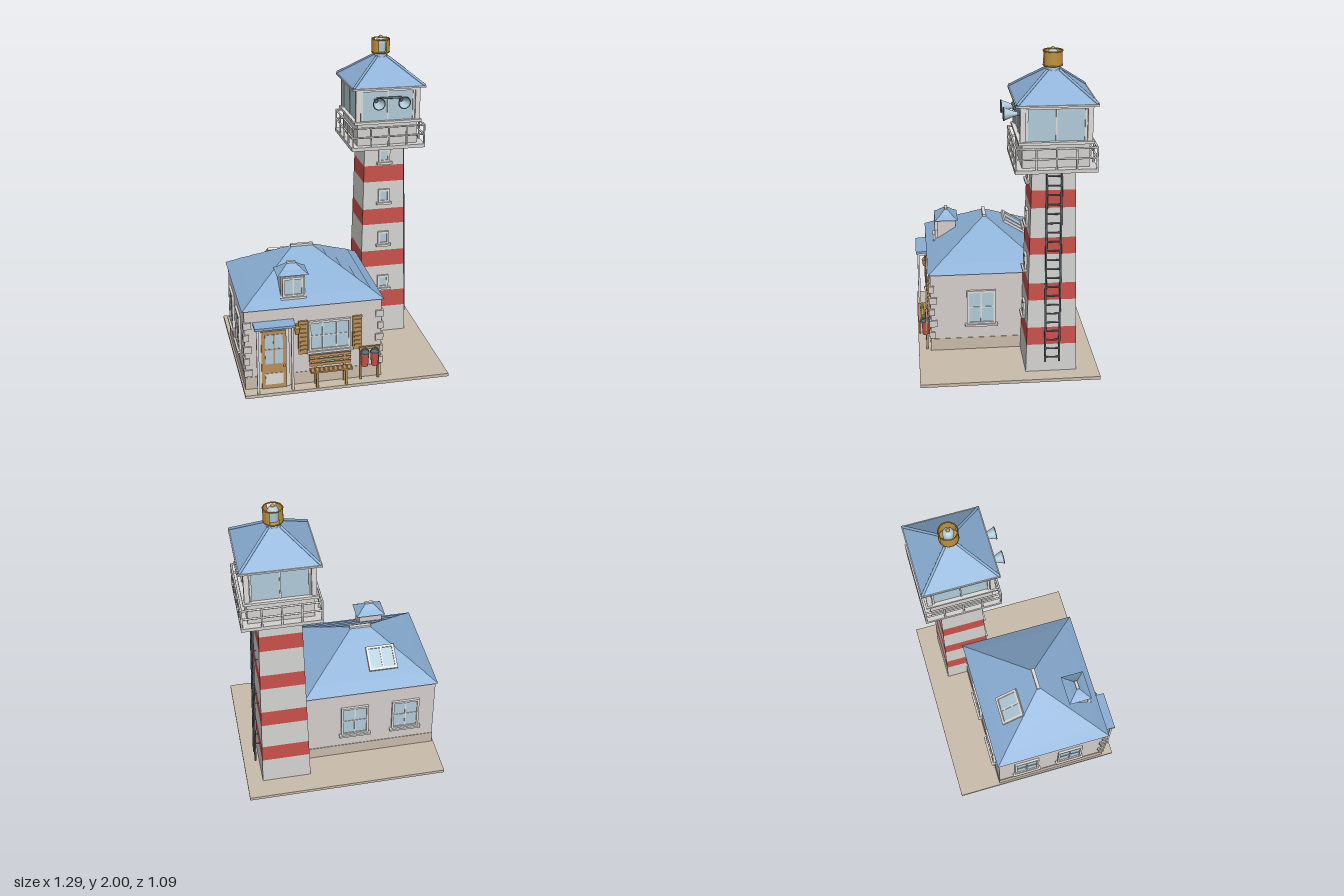
import * as THREE from 'three';

const mat = (name, color, side = THREE.FrontSide) =>
  Object.assign(new THREE.MeshStandardMaterial({ color, side }), { name });

export function createModel() {
  const sand = mat('sand', 0xc8bbaa), wall = mat('house wall', 0xd3cdca), white = mat('tower white', 0xd2d1d0),
    trim = mat('pale trim', 0xdedcd8), blue = mat('roof blue', 0x8aaed4), glass = mat('glass', 0xb0cbd9, THREE.DoubleSide),
    red = mat('red', 0xc8504a), wood = mat('wood', 0xb98f58), gold = mat('brass', 0xc0923a, THREE.DoubleSide),
    metal = mat('dark metal', 0x607078, THREE.DoubleSide);

  const model = new THREE.Group();
  model.name = 'lighthouseAndCottage';
  const group = (name, parent = model, x = 0, y = 0, z = 0) => {
    const g = new THREE.Group();
    g.name = name;
    g.position.set(x, y, z);
    parent.add(g);
    return g;
  };
  const add = (name, parent, geo, m, x = 0, y = 0, z = 0) => {
    const mesh = new THREE.Mesh(geo, m);
    mesh.name = name;
    mesh.position.set(x, y, z);
    parent.add(mesh);
    return mesh;
  };
  const box = (name, parent, m, w, h, d, x, y, z) => add(name, parent, new THREE.BoxGeometry(w, h, d), m, x, y, z);
  const cyl = (name, parent, m, r0, r1, h, x, y, z, n = 24) =>
    add(name, parent, new THREE.CylinderGeometry(r1, r0, h, n), m, x, y, z);
  const rod = (name, parent, m, a, b, r) => {
    const p = new THREE.Vector3(...a), q = new THREE.Vector3(...b), dir = q.clone().sub(p);
    const mesh = add(name, parent, new THREE.CylinderGeometry(r, r, dir.length(), 8), m);
    mesh.position.copy(p).add(q).multiplyScalar(0.5);
    mesh.quaternion.setFromUnitVectors(new THREE.Vector3(0, 1, 0), dir.normalize());
    return mesh;
  };
  // Four-sided block with different half sizes at bottom and top
  const frustum = (w0, d0, w1, d1, h) => {
    const s = [[-1, 1], [1, 1], [1, -1], [-1, -1]];
    const lo = s.map(([x, z]) => [x * w0, 0, z * d0]), hi = s.map(([x, z]) => [x * w1, h, z * d1]);
    const pos = [], quad = (a, b, c, d) => pos.push(...a, ...b, ...c, ...a, ...c, ...d);
    for (let i = 0; i < 4; i++) {
      const j = (i + 1) % 4;
      quad(lo[i], lo[j], hi[j], hi[i]);
    }
    quad(...hi);
    quad(lo[3], lo[2], lo[1], lo[0]);
    const g = new THREE.BufferGeometry();
    g.setAttribute('position', new THREE.Float32BufferAttribute(pos, 3));
    g.computeVertexNormals();
    return g;
  };
  // Framed window facing local +z, with its back on z = 0
  const windowUnit = (name, parent, w, h, cols, rows, x, y, z, ry = 0, f = 0.014, sill = true) => {
    const g = group(name, parent, x, y, z);
    g.rotation.y = ry;
    box('pane', g, glass, w - f, h - f, 0.008, 0, 0, 0.004);
    for (const s of [-1, 1]) {
      box('frameSide', g, trim, f, h, 0.016, s * (w - f) / 2, 0, 0.008);
      box('frameRail', g, trim, w, f, 0.016, 0, s * (h - f) / 2, 0.008);
    }
    for (let i = 1; i < cols; i++) box('mullion', g, trim, f * 0.6, h - f, 0.012, w * (i / cols - 0.5), 0, 0.006);
    for (let i = 1; i < rows; i++) box('glazingBar', g, trim, w - f, f * 0.5, 0.011, 0, h * (i / rows - 0.5), 0.006);
    if (sill) box('sill', g, trim, w + 0.025, 0.014, 0.028, 0, -h / 2 - 0.005, 0.014);
    return g;
  };

  box('groundSlab', model, sand, 1.274, 0.02, 1.09, 0, 0.01, 0);

  // Cottage walls and corner stones
  const house = group('cottage');
  const X0 = -0.622, X1 = 0.22, Z0 = -0.268, Z1 = 0.465, cx = -0.2025, cz = 0.0985;
  box('walls', house, wall, X1 - X0, 0.525, Z1 - Z0, cx, 0.2825, cz);
  box('plinth', house, sand, X1 - X0 + 0.006, 0.08, Z1 - Z0 + 0.006, cx, 0.06, cz);
  for (const s of [-1, 1]) for (let i = 0; i < 5; i++) {
    const wide = i % 2 ? 0.035 : 0.05, deep = i % 2 ? 0.05 : 0.035, x = s < 0 ? X0 - 0.01 : X1 + 0.01;
    box('cornerStone', house, wall, wide, 0.043, deep, x - s * wide / 2, 0.13 + i * 0.079, Z1 + 0.01 - deep / 2);
  }

  // Hipped roof in overlapping courses
  const roof = group('cottageRoof', house, cx, 0, cz);
  const tiers = 5;
  for (let i = 0; i < tiers; i++) {
    const a = i / tiers, b = (i + 1) / tiers, lip = i ? 0.006 : 0;
    const w = t => 0.435 - 0.375 * t, d = t => 0.378 - 0.373 * t;
    add('roofCourse', roof, frustum(w(a) + lip, d(a) + lip, w(b), d(b), 0.239 / tiers + 0.001), blue, 0, 0.543 + 0.239 * a, 0);
  }
  box('ridgeCap', roof, trim, 0.14, 0.014, 0.022, 0, 0.786, 0);

  // Roof window on the back slope
  const skylight = windowUnit('skylight', house, 0.185, 0.162, 2, 1, -0.302, 0.664, -0.1, 0, 0.016, false);
  skylight.rotation.set(-(Math.PI / 2 - 0.565), Math.PI, 0, 'XYZ');
  skylight.rotation.set(-Math.PI / 2 + 0.565, Math.PI, 0, 'YXZ');

  // Dormer
  const dormer = group('dormer', house, -0.315, 0, 0.34);
  box('dormerWalls', dormer, wall, 0.15, 0.16, 0.12, 0, 0.65, 0);
  add('dormerRoof', dormer, frustum(0.096, 0.075, 0.055, 0.035, 0.028), blue, 0, 0.722, 0);
  add('dormerRoofTop', dormer, frustum(0.061, 0.041, 0.022, 0.005, 0.032), blue, 0, 0.748, 0);
  box('dormerRidge', dormer, trim, 0.055, 0.012, 0.018, 0, 0.781, 0);
  windowUnit('dormerWindow', dormer, 0.13, 0.125, 2, 1, 0, 0.648, 0.06);

  // Cottage windows and shutters
  windowUnit('frontWindow', house, 0.26, 0.2, 3, 2, -0.105, 0.34, Z1);
  for (const x of [-0.27, 0.065]) {
    box('shutter', house, wood, 0.058, 0.22, 0.014, x, 0.338, Z1 + 0.009);
    for (let i = 0; i < 7; i++) box('shutterSlat', house, wood, 0.04, 0.012, 0.008, x, 0.255 + i * 0.028, Z1 + 0.018);
  }
  windowUnit('rightWindow', house, 0.18, 0.23, 2, 2, X1, 0.315, 0.148, Math.PI / 2);
  for (const x of [-0.095, -0.43]) windowUnit('backWindow', house, 0.18, 0.23, 2, 2, x, 0.315, Z0, Math.PI);
  for (const z of [-0.08, 0.22]) windowUnit('leftWindow', house, 0.165, 0.23, 2, 2, X0, 0.315, z, -Math.PI / 2);

  // Door and porch
  const porch = group('porch', house, -0.45, 0, Z1);
  box('doorSurround', porch, trim, 0.19, 0.41, 0.01, 0, 0.225, 0.005);
  box('door', porch, wood, 0.152, 0.385, 0.018, 0, 0.2125, 0.009);
  box('doorGlass', porch, glass, 0.108, 0.195, 0.004, 0, 0.285, 0.019);
  box('doorBar', porch, wood, 0.008, 0.195, 0.006, 0, 0.285, 0.02);
  box('doorBar', porch, wood, 0.108, 0.008, 0.006, 0, 0.285, 0.02);
  box('doorPanel', porch, trim, 0.108, 0.075, 0.004, 0, 0.085, 0.019);
  add('doorKnob', porch, new THREE.SphereGeometry(0.008, 12, 8), gold, 0.062, 0.17, 0.024);
  for (const s of [-1, 1]) {
    box('porchPost', porch, trim, 0.014, 0.425, 0.014, s * 0.105, 0.2325, 0.062);
    box('porchBeam', porch, trim, 0.012, 0.014, 0.07, s * 0.105, 0.438, 0.035);
  }
  box('porchRoof', porch, blue, 0.246, 0.016, 0.082, 0, 0.455, 0.038).rotation.x = 0.08;

  // Wall lamp
  box('lampBracket', house, gold, 0.012, 0.012, 0.03, -0.308, 0.425, Z1 + 0.015);
  cyl('lampBody', house, gold, 0.012, 0.018, 0.045, -0.308, 0.395, Z1 + 0.023, 8);
  cyl('lampCap', house, gold, 0.02, 0.004, 0.014, -0.308, 0.424, Z1 + 0.023, 8);

  // Bench
  const bench = group('bench', house, -0.105, 0, 0.5);
  for (let i = 0; i < 3; i++) {
    box('seatSlat', bench, wood, 0.26, 0.01, 0.015, 0, 0.125, -0.003 + i * 0.018);
    box('backSlat', bench, wood, 0.26, 0.018, 0.008, 0, 0.152 + i * 0.027, -0.013 - i * 0.003);
  }
  for (const x of [-0.09, 0.09]) {
    box('backLeg', bench, wood, 0.014, 0.195, 0.012, x, 0.1175, -0.02);
    box('frontLeg', bench, wood, 0.014, 0.1, 0.012, x, 0.07, 0.033);
    box('seatBearer', bench, wood, 0.014, 0.012, 0.06, x, 0.114, 0.007);
  }

  // Bucket stand
  const stand = group('bucketStand', house, 0.14, 0, 0.49);
  for (const x of [-0.055, 0.055]) box('standPost', stand, wood, 0.012, 0.215, 0.012, x, 0.1275, 0);
  box('standRail', stand, wood, 0.13, 0.018, 0.014, 0, 0.232, 0);
  for (const x of [-0.031, 0.031]) {
    cyl('bucket', stand, red, 0.021, 0.027, 0.09, x, 0.16, 0.007);
    cyl('bucketRim', stand, metal, 0.028, 0.028, 0.006, x, 0.203, 0.007);
    add('bucketHandle', stand, new THREE.TorusGeometry(0.025, 0.003, 6, 16, Math.PI), metal, x, 0.205, 0.007);
  }

  // Banded tower shaft
  const tower = group('tower', model, 0.38, 0, -0.255);
  const half = y => 0.156 - 0.029 * (y - 0.02) / 1.31;
  const levels = [0.02, 0.2, 0.315, 0.495, 0.605, 0.79, 0.895, 1.08, 1.188, 1.33];
  for (let i = 0; i < 9; i++) {
    const a = levels[i], b = levels[i + 1];
    add(i % 2 ? 'redBand' : 'whiteBand', tower, frustum(half(a), half(a), half(b), half(b), b - a), i % 2 ? red : white, 0, a, 0);
  }
  for (const y of [0.385, 0.695, 0.985, 1.255])
    windowUnit('towerWindow', tower, 0.074, 0.088, 1, 1, 0, y, half(y) - 0.002, 0, 0.014).rotation.x = -0.022;

  // Ladder on the right face
  const ladder = group('ladder', tower);
  const lx = y => 0.186 - 0.036 * (y - 0.1) / 1.22;
  for (const z of [-0.043, 0.043]) {
    rod('ladderRail', ladder, metal, [lx(0.1), 0.1, z], [lx(1.32), 1.32, z], 0.006);
    for (const y of [0.25, 0.6, 0.95, 1.25]) rod('standoff', ladder, metal, [half(y) - 0.01, y, z], [lx(y), y, z], 0.004);
  }
  for (let i = 0; i < 21; i++) {
    const y = 0.13 + i * 0.0575;
    rod('rung', ladder, metal, [lx(y), y, -0.043], [lx(y), y, 0.043], 0.005);
  }

  // Balcony, railing and glazed watch room
  box('balconyFloor', tower, white, 0.472, 0.022, 0.472, 0, 1.336, 0);
  box('watchRoomBase', tower, white, 0.385, 0.15, 0.385, 0, 1.42, 0);
  box('watchRoomSill', tower, trim, 0.43, 0.016, 0.43, 0, 1.495, 0);
  box('watchRoomGlass', tower, glass, 0.384, 0.21, 0.384, 0, 1.605, 0);
  box('watchRoomLintel', tower, trim, 0.412, 0.018, 0.412, 0, 1.7, 0);
  for (let k = 0; k < 4; k++) {
    const side = group('watchRoomSide', tower);
    side.rotation.y = k * Math.PI / 2;
    for (const y of [1.41, 1.47]) rod('railing', side, trim, [-0.23, y, 0.23], [0.23, y, 0.23], 0.006);
    for (let i = 0; i < 4; i++) {
      const x = -0.23 + i * 0.115;
      rod('railingPost', side, trim, [x, 1.345, 0.23], [x, 1.475, 0.23], 0.006);
    }
    box('cornerPost', side, trim, 0.03, 0.2, 0.03, 0.19, 1.6, 0.19);
    for (const s of [-1, 1]) box('windowStile', side, trim, 0.012, 0.19, 0.01, s * 0.166, 1.6, 0.194);
    box('windowMullion', side, trim, 0.008, 0.19, 0.008, 0, 1.6, 0.194);
    rod('hipRidge', side, blue, [0.226, 1.722, 0.226], [0.035, 1.872, 0.035], 0.008);
  }
  box('eaves', tower, trim, 0.466, 0.01, 0.466, 0, 1.714, 0);
  add('towerRoof', tower, frustum(0.228, 0.228, 0.03, 0.03, 0.157), blue, 0, 1.718, 0);

  // Twin horns
  const horns = group('horns', tower, 0, 1.635, 0.25);
  for (const x of [-0.08, 0.08]) {
    const pts = [[0.012, -0.04], [0.016, -0.02], [0.028, 0.01], [0.038, 0.036]].map(p => new THREE.Vector2(...p));
    add('horn', horns, new THREE.LatheGeometry(pts, 24), glass, x, 0, 0).rotation.x = Math.PI / 2;
    add('hornRim', horns, new THREE.TorusGeometry(0.037, 0.003, 6, 24), metal, x, 0, 0.036);
    rod('hornMount', horns, metal, [x, 0, -0.065], [x, 0, -0.038], 0.01);
  }
  rod('hornBar', horns, metal, [-0.08, 0.018, -0.03], [0.08, 0.018, -0.03], 0.007);

  // Brass beacon: two curved shields around a lens
  const beacon = group('beacon', tower);
  cyl('beaconNeck', beacon, blue, 0.042, 0.034, 0.024, 0, 1.878, 0);
  cyl('beaconBase', beacon, gold, 0.055, 0.055, 0.008, 0, 1.894, 0);
  for (const start of [0.45, Math.PI + 0.45])
    add('beaconShield', beacon, new THREE.CylinderGeometry(0.057, 0.057, 0.086, 20, 1, true, start, Math.PI - 0.9), gold, 0, 1.935, 0);
  for (const y of [1.895, 1.976])
    add('beaconRing', beacon, new THREE.TorusGeometry(0.055, 0.004, 6, 32), gold, 0, y, 0).rotation.x = Math.PI / 2;
  cyl('lens', beacon, glass, 0.03, 0.034, 0.055, 0, 1.925, 0);
  add('lensDome', beacon, new THREE.SphereGeometry(0.034, 24, 8, 0, Math.PI * 2, 0, Math.PI / 2), glass, 0, 1.952, 0);
  add('finial', beacon, new THREE.SphereGeometry(0.011, 16, 12), gold, 0, 1.989, 0);
  return model;
}
